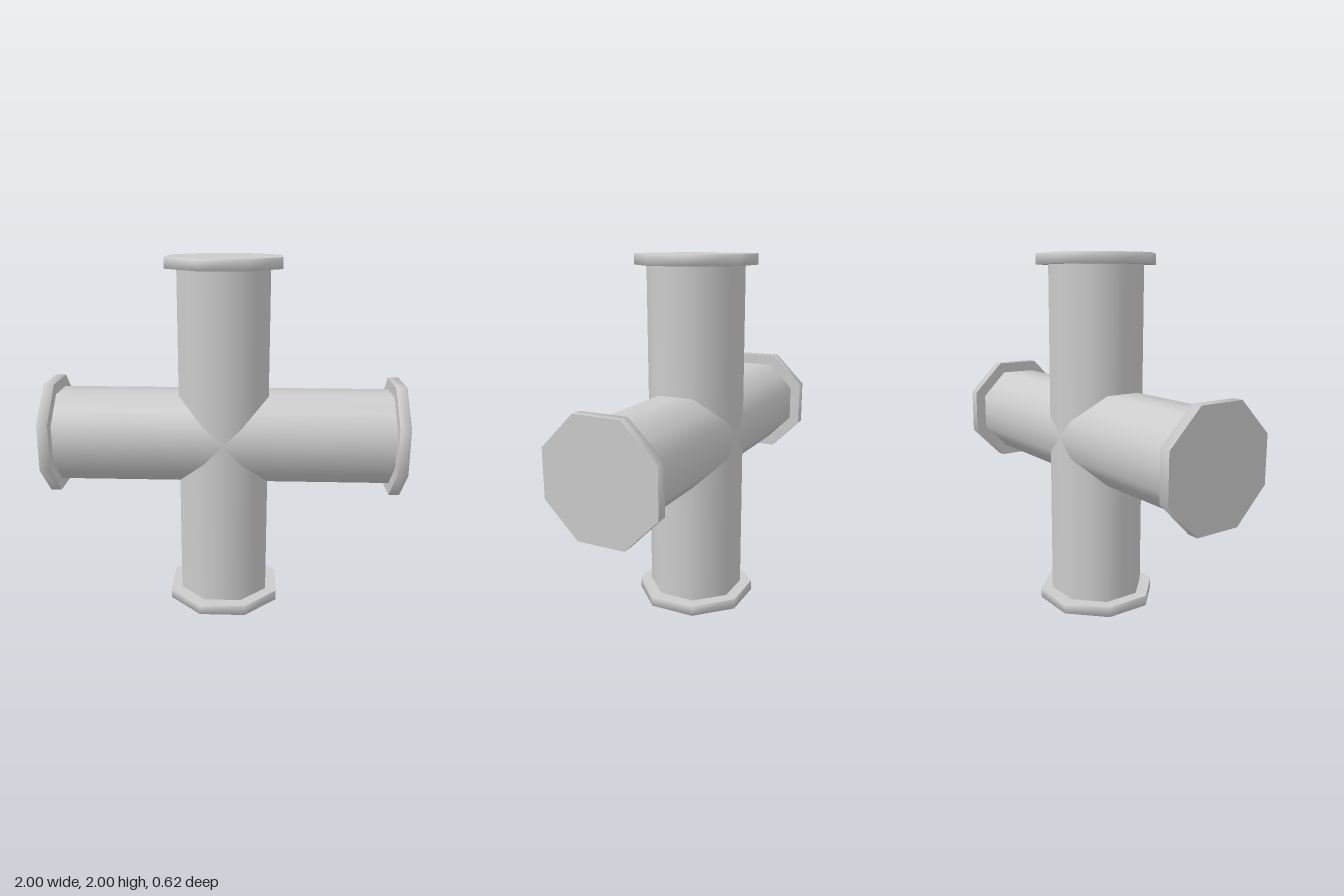
import * as THREE from 'three';

const CENTER = 1;          // height of the crossing
const PIPE = 0.25;         // half width across the flats of the pipe
const FLANGE = 0.3125;     // half width across the flats of the flange
const THICK = 0.06;        // flange thickness
const COS = Math.cos(Math.PI / 8);

// Octagonal pipe arm along +y, mitred at the crossing so four arms meet edge to edge.
function armGeometry() {
  const geo = new THREE.CylinderGeometry(1, 1, 1, 16, 1, true);
  const pos = geo.attributes.position;
  for (let i = 0; i < pos.count; i++) {
    const step = i % 17;   // even steps are middles of flats, odd steps are corners
    const r = step % 2 ? PIPE / COS : PIPE;
    const x = pos.getX(i) * r, z = pos.getZ(i) * r;
    pos.setXYZ(i, x, pos.getY(i) > 0 ? 1 - THICK : Math.abs(x), z);
  }
  return geo;
}

// Octagonal end flange with a softly shaded rim.
function flangeGeometry() {
  const r = FLANGE / COS;
  const geo = new THREE.CylinderGeometry(r, r, THICK, 8, 1, false, Math.PI / 8);
  const pos = geo.attributes.position, nor = geo.attributes.normal;
  const n = new THREE.Vector3();
  for (let i = 0; i < pos.count; i++) {
    n.fromBufferAttribute(nor, i);
    if (Math.abs(n.y) > 0.5) continue;
    n.y = Math.sign(pos.getY(i)) * 0.6;
    n.normalize();
    nor.setXYZ(i, n.x, n.y, n.z);
  }
  return geo.translate(0, 1 - THICK / 2, 0);
}

export function createModel() {
  const model = new THREE.Group();
  model.name = 'pipeCross';
  const material = new THREE.MeshStandardMaterial({ color: 0xcccccc });
  const arm = armGeometry(), flange = flangeGeometry();

  // Four identical arms turned about the z axis
  ['top', 'right', 'bottom', 'left'].forEach((side, i) => {
    const group = new THREE.Group();
    group.name = side + 'Arm';
    const pipe = new THREE.Mesh(arm, material);
    pipe.name = side + 'Pipe';
    const end = new THREE.Mesh(flange, material);
    end.name = side + 'Flange';
    group.add(pipe, end);
    group.position.y = CENTER;
    group.rotation.z = i * Math.PI / 2;
    model.add(group);
  });
  return model;
}
